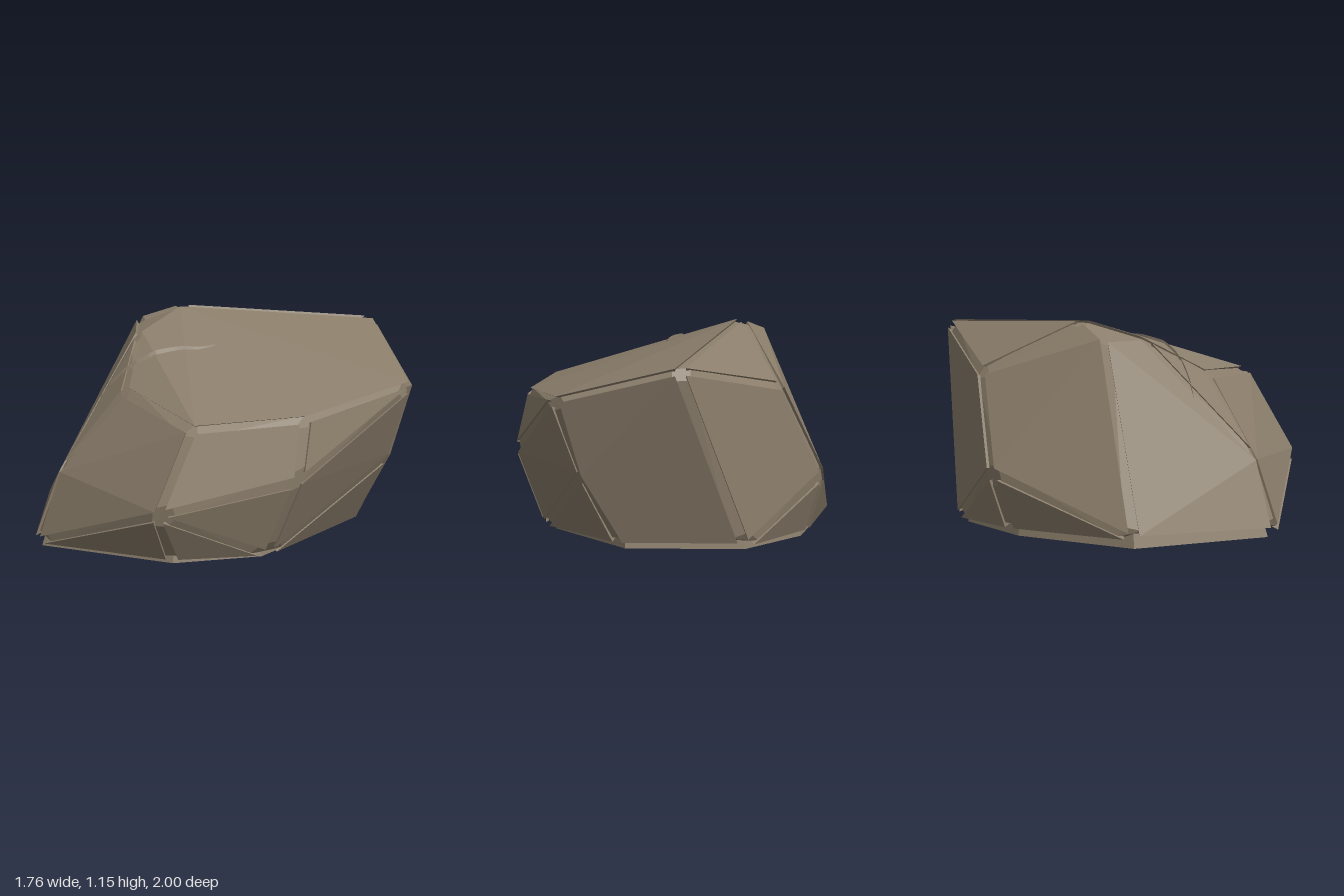
import * as THREE from 'three';
import { ConvexGeometry } from 'three/addons/geometries/ConvexGeometry.js';

const stone = new THREE.MeshStandardMaterial({ color: 0x8b7e6b, flatShading: true });
stone.name = 'stone';

// Main corners of the boulder
const corners = {
  peakBack: [-0.34, 1.165, -0.04], peakLeft: [-0.5, 1.1, 0.1], peakFront: [-0.29, 1.08, 0.26],
  back: [0.15, 1.04, -1.02], backRight: [0.82, 0.86, -0.79],
  right: [0.83, 0.8, -0.05], frontRight: [0.61, 0.79, 0.56], frontTop: [-0.03, 0.85, 0.55],
  frontMid: [-0.17, 0.42, 0.89], frontLow: [-0.22, 0.02, 1.02], lowRight: [0.64, 0.34, 0.82],
  rightMid: [0.89, 0.46, 0.04], backMid: [0.65, 0.42, -0.745],
  backLeft: [-0.49, 0.87, -0.61], leftMid: [-0.74, 0.36, -0.46],
  left: [-0.89, 0.04, 0.43], baseFront: [0.52, 0.01, 0.62], baseRight: [0.71, 0.01, 0.12],
  baseBackRight: [0.43, 0.01, -0.68], baseBack: [-0.25, 0.01, -0.82], baseLeft: [-0.65, 0.01, -0.37],
};

// Facets, each a loop of corners (the chipped peak is left open)
const facets = [
  'peakBack peakFront frontTop frontRight right backRight back',
  'left frontLow frontMid peakFront peakLeft',
  'peakFront frontTop frontMid',
  'frontMid frontTop frontRight lowRight frontLow',
  'frontLow lowRight baseFront',
  'lowRight baseRight baseFront',
  'frontRight right rightMid lowRight',
  'right backRight rightMid',
  'lowRight rightMid baseRight',
  'rightMid backRight backMid baseRight',
  'backMid baseBackRight baseRight',
  'backRight back baseBack baseBackRight backMid',
  'back backLeft leftMid baseBack',
  'leftMid baseBack baseLeft',
  'left leftMid baseLeft',
  'backLeft leftMid left peakLeft peakBack',
  'peakBack back backLeft',
].map((f) => f.split(' ').map((n) => new THREE.Vector3(...corners[n])));
const centre = new THREE.Vector3(0, 0.45, 0);

// Pull a facet in from its own edges
function insetFacet(loop, amount) {
  return loop.map((v, i) => {
    const p = v.clone();
    for (const step of [1, loop.length - 1]) {
      const d = loop[(i + step) % loop.length].clone().sub(v);
      p.addScaledVector(d.clone().normalize(), Math.min(amount, d.length() * 0.25));
    }
    return p;
  });
}

// Inner stone with wide worn edges, seen in the grooves between the facets
function makeCore() {
  const points = facets.flatMap((f) => insetFacet(f, 0.06));
  return new ConvexGeometry(points.map((p) => p.lerp(centre, 0.008)));
}

// Raised slab of one facet, tapering toward the middle of the rock
function makeSlab(loop) {
  const outer = insetFacet(loop, 0.036);
  return new ConvexGeometry([...outer, ...outer.map((p) => p.clone().lerp(centre, 0.12))]);
}

// Flat underside, set in from the ledge above it
function makeBase() {
  const names = ['left', 'frontLow', 'baseFront', 'baseRight', 'baseBackRight', 'baseBack', 'baseLeft'];
  return new ConvexGeometry(names.flatMap((n) => {
    const x = corners[n][0] * 0.935 - 0.015, z = corners[n][2] * 0.93 + 0.01;
    return [[0, 1], [0.09, 0.97]].map(([y, s]) => new THREE.Vector3(x * s, y, z * s));
  }));
}

// Thin broken lip across the top: a narrow strip with a steep left and a sloping right side
function makeCrack(rock) {
  const path = new THREE.CatmullRomCurve3(
    [[0.06, 0], [0.04, 0.1], [-0.02, 0.2], [-0.08, 0.34], [-0.13, 0.42], [-0.2, 0.5], [-0.26, 0.55]]
      .map(([x, z]) => new THREE.Vector3(x, 0, z)));
  const ray = new THREE.Raycaster();
  const down = new THREE.Vector3(0, -1, 0);
  const n = 24, pos = [], index = [];
  for (let i = 0; i <= n; i++) {
    const t = i / n;
    const c = path.getPoint(t), d = path.getTangent(t);
    const w = 0.003 + 0.007 * Math.sin(Math.PI * t);
    for (const [side, lift] of [[1, -0.004], [0.7, 1.6 * w], [-1, -0.004]]) {
      const x = c.x - d.z * w * side, z = c.z + d.x * w * side;
      ray.set(new THREE.Vector3(x, 3, z), down);
      pos.push(x, ray.intersectObject(rock)[0].point.y + lift, z);
    }
    if (i < n) {
      for (const a of [i * 3, i * 3 + 1]) index.push(a, a + 3, a + 1, a + 1, a + 3, a + 4);
    }
  }
  const geo = new THREE.BufferGeometry();
  geo.setAttribute('position', new THREE.Float32BufferAttribute(pos, 3));
  geo.setIndex(index);
  geo.computeVertexNormals();
  return geo;
}

export function createModel() {
  const group = new THREE.Group();
  group.name = 'boulder';
  const add = (name, geometry) => {
    const mesh = new THREE.Mesh(geometry, stone);
    mesh.name = name;
    group.add(mesh);
  };
  add('rockCore', makeCore());
  add('rockBase', makeBase());
  facets.forEach((f) => add('rockFacet', makeSlab(f)));
  group.updateMatrixWorld(true);
  add('surfaceCrack', makeCrack(group));
  return group;
}
